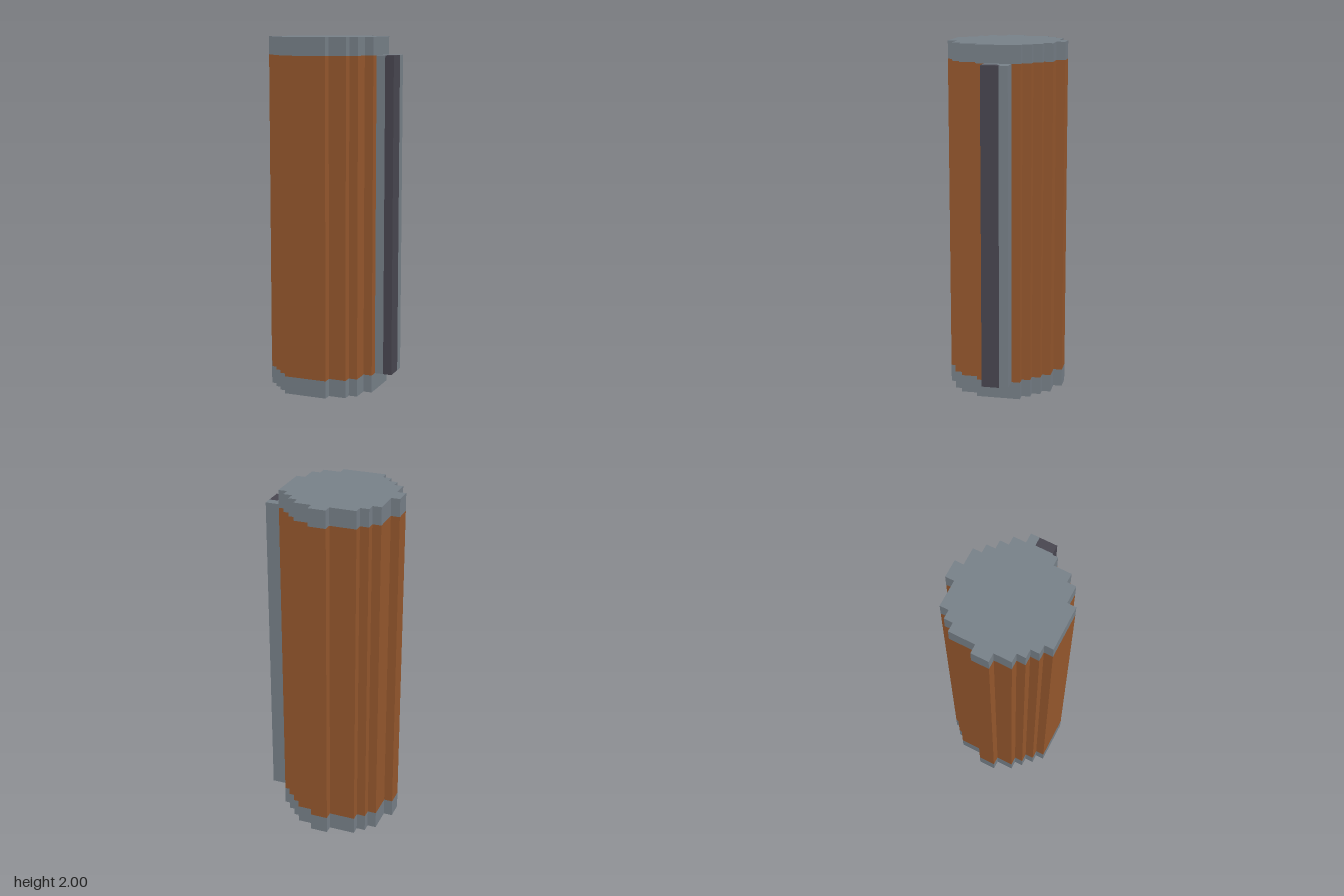
import * as THREE from 'three';

const STEP = 0.05;
const grey = new THREE.MeshStandardMaterial({ name: 'steelGrey', color: 0x778088 });
const brown = new THREE.MeshStandardMaterial({ name: 'rustBrown', color: 0x96582d });
const dark = new THREE.MeshStandardMaterial({ name: 'charcoal', color: 0x484650 });

// Stepped outline: [z where the edge changes, x], walked down each side in grid steps
const rightSide = [[-6.5, 0.5], [-5.5, 2.5], [-4.5, 3.5], [-3.5, 4.5], [-2.5, 5.5],
  [2.5, 4.5], [4.5, 3.5], [5.5, 1.5]];
const leftSide = [[-6.5, -1.5], [-5.5, -4.5], [-4.5, -5.5], [-3.5, -6.5], [-0.5, -7.5],
  [1.5, -6.5], [3.5, -5.5], [4.5, -4.5], [5.5, -3.5]];
const END_Z = 6.5;

// Turn a side into stair corners
function stairs(side) {
  return side.flatMap(([z, x], i) => [[x, z], [x, i + 1 < side.length ? side[i + 1][0] : END_Z]]);
}

// Upright prism from a plan outline in grid steps
function prism(name, outline, y0, y1, material) {
  const shape = new THREE.Shape(outline.map(([x, z]) => new THREE.Vector2(x * STEP, -z * STEP)));
  const geometry = new THREE.ExtrudeGeometry(shape, { depth: y1 - y0, bevelEnabled: false });
  geometry.rotateX(-Math.PI / 2).translate(0, y0, 0);
  const mesh = new THREE.Mesh(geometry, material);
  mesh.name = name;
  return mesh;
}

export function createModel() {
  const model = new THREE.Group();
  model.name = 'steppedCanister';

  // Drum with a cap at each end
  const outline = [...stairs(rightSide), ...stairs(leftSide).reverse()];
  model.add(
    prism('bottomCap', outline, 0, 0.1, grey),
    prism('drumBody', outline, 0.1, 1.9, brown),
    prism('topCap', outline, 1.9, 2, grey)
  );

  // Side rail: an L-shaped bracket holding a dark strip
  const bracket = [[5.5, -1.5], [7.5, -1.5], [7.5, -0.5], [6.5, -0.5], [6.5, 1.5], [5.5, 1.5]];
  const strip = [[6.5, -0.5], [7.5, -0.5], [7.5, 1.5], [6.5, 1.5]];
  model.add(
    prism('railBracket', bracket, 0.1, 1.9, grey),
    prism('railStrip', strip, 0.1, 1.9, dark)
  );
  return model;
}
